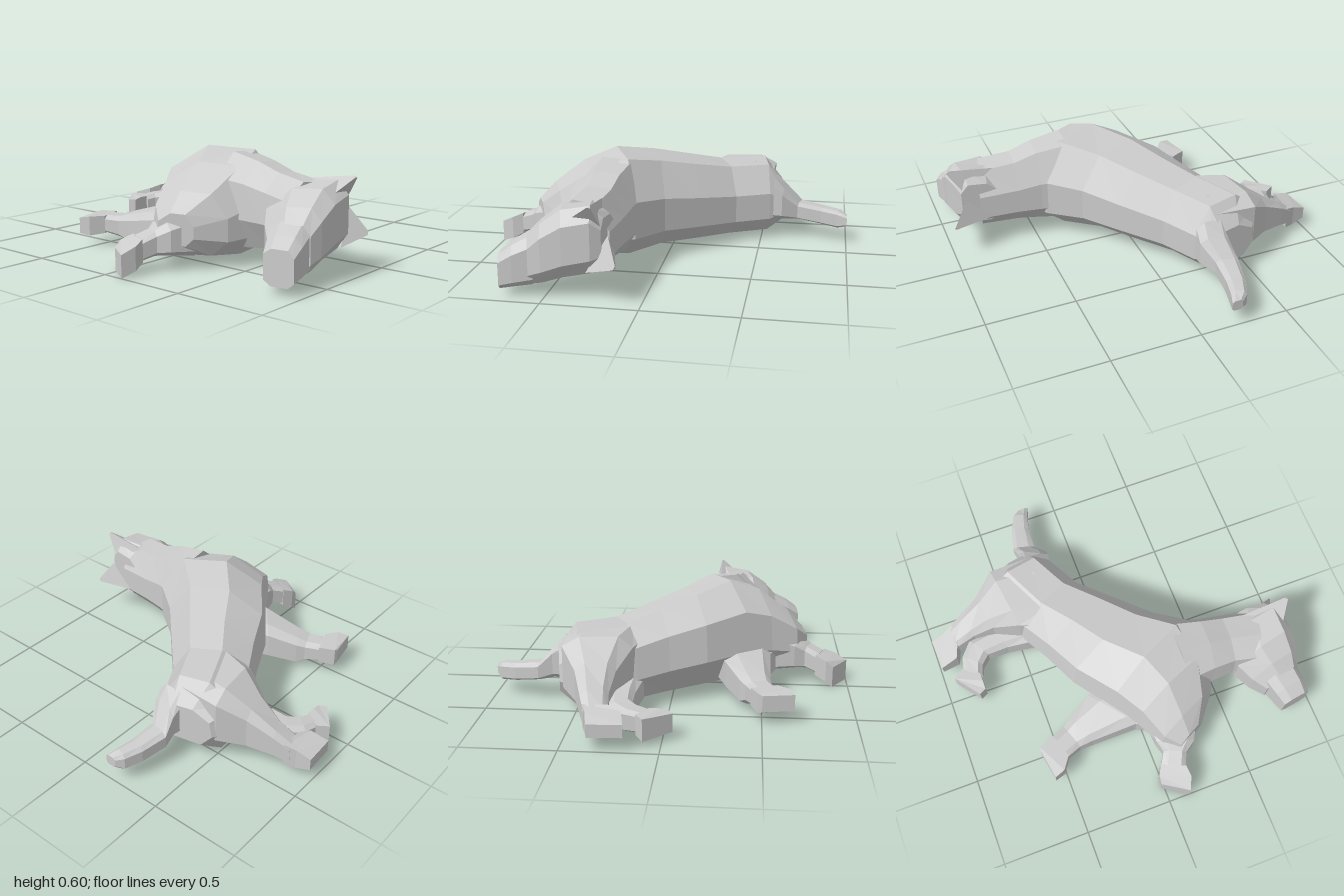
import * as THREE from 'three';

const material = new THREE.MeshStandardMaterial({ color: 0xcccccc, flatShading: true });

// Cross-section outlines: [across 0..1, height 0..1]
const ROUND = [[0, 0.23], [0, 0.6], [0.22, 0.97], [0.62, 1], [0.95, 0.76], [1, 0.35], [0.78, 0], [0.22, 0]];
const LIMB = [[0, 0.15], [0, 0.85], [0.25, 1], [0.8, 1], [1, 0.8], [1, 0.15], [0.8, 0], [0.25, 0]];
const SKULL = [[0, 0.15], [0, 0.65], [0.38, 0.97], [0.82, 1], [1, 0.8], [1, 0.25], [0.82, 0.02], [0.35, 0]];
const BLOCK = [[0, 0], [0, 1], [1, 1], [1, 0]];

// Skins a closed surface over rings of points
function skin(name, rings) {
  const n = rings[0].length;
  const tris = [];
  for (let i = 0; i < rings.length - 1; i++) {
    for (let j = 0; j < n; j++) {
      const k = (j + 1) % n;
      const [a, b, c, d] = [rings[i][j], rings[i][k], rings[i + 1][k], rings[i + 1][j]];
      tris.push([a, b, c], [a, c, d]);
    }
  }
  const middle = (ring) => ring.reduce((s, p) => s.add(p), new THREE.Vector3()).divideScalar(n);
  const first = rings[0], last = rings[rings.length - 1];
  const m0 = middle(first), m1 = middle(last);
  for (let j = 0; j < n; j++) {
    const k = (j + 1) % n;
    tris.push([m0, first[k], first[j]], [m1, last[j], last[k]]);
  }
  // Turn the faces outward whichever way the rings run
  const volume = tris.reduce((v, [a, b, c]) => v + a.dot(b.clone().cross(c)), 0);
  const points = tris.flatMap(([a, b, c]) => (volume < 0 ? [a, c, b] : [a, b, c]));
  const geometry = new THREE.BufferGeometry().setFromPoints(points);
  geometry.computeVertexNormals();
  const mesh = new THREE.Mesh(geometry, material);
  mesh.name = name;
  return mesh;
}

// Each section: [x, z of one edge, x, z of the other edge, bottom y, top y]
function loft(name, outline, sections) {
  return skin(name, sections.map(([ax, az, bx, bz, y0, y1]) => outline.map(([t, s]) =>
    new THREE.Vector3(ax + (bx - ax) * t, y0 + (y1 - y0) * s, az + (bz - az) * t))));
}

// Pointed ear on a three-cornered base
function ear(name, base, tip) {
  const end = new THREE.Vector3(...tip);
  const ring = base.map((p) => new THREE.Vector3(...p));
  return skin(name, [ring, ring.map((p) => p.clone().lerp(end, 0.9))]);
}

export function createModel() {
  const dog = new THREE.Group();
  dog.name = 'lyingDog';

  // Torso from rump to chest, resting on its side
  dog.add(loft('torso', ROUND, [
    [-0.23, -0.64, -0.52, -0.58, 0.1, 0.32],
    [-0.17, -0.55, -0.6, -0.46, 0.03, 0.445],
    [-0.07, -0.36, -0.47, -0.17, 0.03, 0.45],
    [0.11, -0.17, -0.38, 0.0, 0.04, 0.5],
    [0.27, 0.0, -0.29, 0.2, 0.05, 0.55],
    [0.45, 0.13, -0.13, 0.42, 0.04, 0.595],
    [0.49, 0.34, -0.03, 0.56, 0.05, 0.53],
    [0.42, 0.54, 0.05, 0.71, 0.07, 0.4],
    [0.31, 0.68, 0.14, 0.77, 0.13, 0.3],
  ]));

  // Neck, reaching sideways from the shoulders
  dog.add(loft('neck', ROUND, [
    [0.28, 0.08, 0.3, 0.5, 0.08, 0.58],
    [0.47, 0.13, 0.46, 0.48, 0.1, 0.545],
    [0.6, 0.15, 0.59, 0.47, 0.115, 0.5],
    [0.82, 0.18, 0.74, 0.5, 0.11, 0.475],
  ]));

  // Head and muzzle
  dog.add(loft('head', SKULL, [
    [0.68, 0.18, 0.92, 0.2, 0.17, 0.42],
    [0.64, 0.3, 0.95, 0.25, 0.13, 0.485],
    [0.61, 0.47, 0.965, 0.39, 0.1, 0.46],
    [0.67, 0.56, 0.965, 0.5, 0.07, 0.385],
    [0.74, 0.63, 0.95, 0.57, 0.06, 0.31],
  ]));
  dog.add(loft('muzzle', LIMB, [
    [0.74, 0.6, 0.94, 0.55, 0.06, 0.32],
    [0.775, 0.68, 0.96, 0.65, 0.05, 0.27],
    [0.805, 0.745, 0.965, 0.72, 0.04, 0.22],
  ]));
  dog.add(ear('upperEar', [[0.72, 0.475, 0.24], [0.91, 0.41, 0.37], [0.9, 0.37, 0.2]], [0.995, 0.515, 0.235]));
  dog.add(ear('lowerEar', [[0.76, 0.2, 0.17], [0.9, 0.34, 0.17], [0.93, 0.15, 0.28]], [0.995, 0.2, 0.11]));

  // Tail, trailing behind the rump
  dog.add(loft('tail', LIMB, [
    [-0.17, -0.57, -0.34, -0.58, 0.11, 0.37],
    [-0.17, -0.62, -0.33, -0.66, 0.12, 0.3],
    [-0.22, -0.71, -0.345, -0.74, 0.11, 0.21],
    [-0.21, -0.85, -0.31, -0.88, 0.09, 0.19],
    [-0.19, -0.94, -0.27, -0.97, 0.08, 0.18],
    [-0.17, -1.0, -0.23, -1.0, 0.1, 0.16],
  ]));

  // Hind legs
  dog.add(loft('upperHindLeg', LIMB, [
    [-0.3, -0.56, -0.28, -0.12, 0.12, 0.44],
    [-0.53, -0.56, -0.48, -0.19, 0.1, 0.43],
    [-0.66, -0.47, -0.62, -0.26, 0.09, 0.33],
    [-0.8, -0.42, -0.74, -0.28, 0.08, 0.24],
    [-0.88, -0.39, -0.85, -0.27, 0.06, 0.18],
  ]));
  dog.add(loft('upperHindPaw', BLOCK, [
    [-0.85, -0.4, -0.85, -0.27, 0.06, 0.19],
    [-0.91, -0.375, -0.88, -0.2, 0.05, 0.17],
    [-0.99, -0.36, -0.98, -0.18, 0.07, 0.14],
  ]));
  dog.add(loft('lowerHindLeg', LIMB, [
    [-0.45, -0.36, -0.42, -0.14, 0.03, 0.2],
    [-0.62, -0.31, -0.58, -0.165, 0.03, 0.18],
    [-0.78, -0.28, -0.7, -0.165, 0.04, 0.17],
    [-0.85, -0.2, -0.75, -0.12, 0.04, 0.16],
    [-0.87, -0.11, -0.77, -0.07, 0.04, 0.15],
  ]));
  dog.add(loft('lowerHindPaw', BLOCK, [
    [-0.87, -0.13, -0.78, -0.07, 0.04, 0.15],
    [-0.93, -0.09, -0.78, -0.02, 0.03, 0.15],
    [-0.82, 0.05, -0.78, 0.03, 0.04, 0.14],
  ]));

  // Front legs
  dog.add(loft('upperFrontLeg', LIMB, [
    [0.03, 0.2, 0.06, 0.6, 0.06, 0.26],
    [-0.24, 0.3, -0.04, 0.55, 0.04, 0.24],
    [-0.39, 0.38, -0.3, 0.545, 0.02, 0.19],
    [-0.43, 0.41, -0.38, 0.55, 0.05, 0.17],
    [-0.53, 0.45, -0.46, 0.58, 0.07, 0.17],
  ]));
  dog.add(loft('upperFrontPaw', BLOCK, [
    [-0.51, 0.44, -0.46, 0.58, 0.07, 0.17],
    [-0.595, 0.48, -0.51, 0.65, 0.06, 0.17],
    [-0.6, 0.5, -0.57, 0.67, 0.07, 0.16],
  ]));
  dog.add(loft('lowerFrontLeg', LIMB, [
    [0.02, 0.55, 0.3, 0.62, 0.06, 0.3],
    [0.03, 0.69, 0.23, 0.76, 0.08, 0.25],
    [0.05, 0.75, 0.17, 0.8, 0.08, 0.21],
    [0.01, 0.82, 0.14, 0.87, 0.06, 0.18],
  ]));
  dog.add(loft('lowerFrontPaw', BLOCK, [
    [0.01, 0.81, 0.14, 0.87, 0.06, 0.18],
    [-0.02, 0.87, 0.15, 0.93, 0.03, 0.155],
    [-0.02, 0.91, 0.12, 1.0, 0.0, 0.12],
  ]));

  return dog;
}
